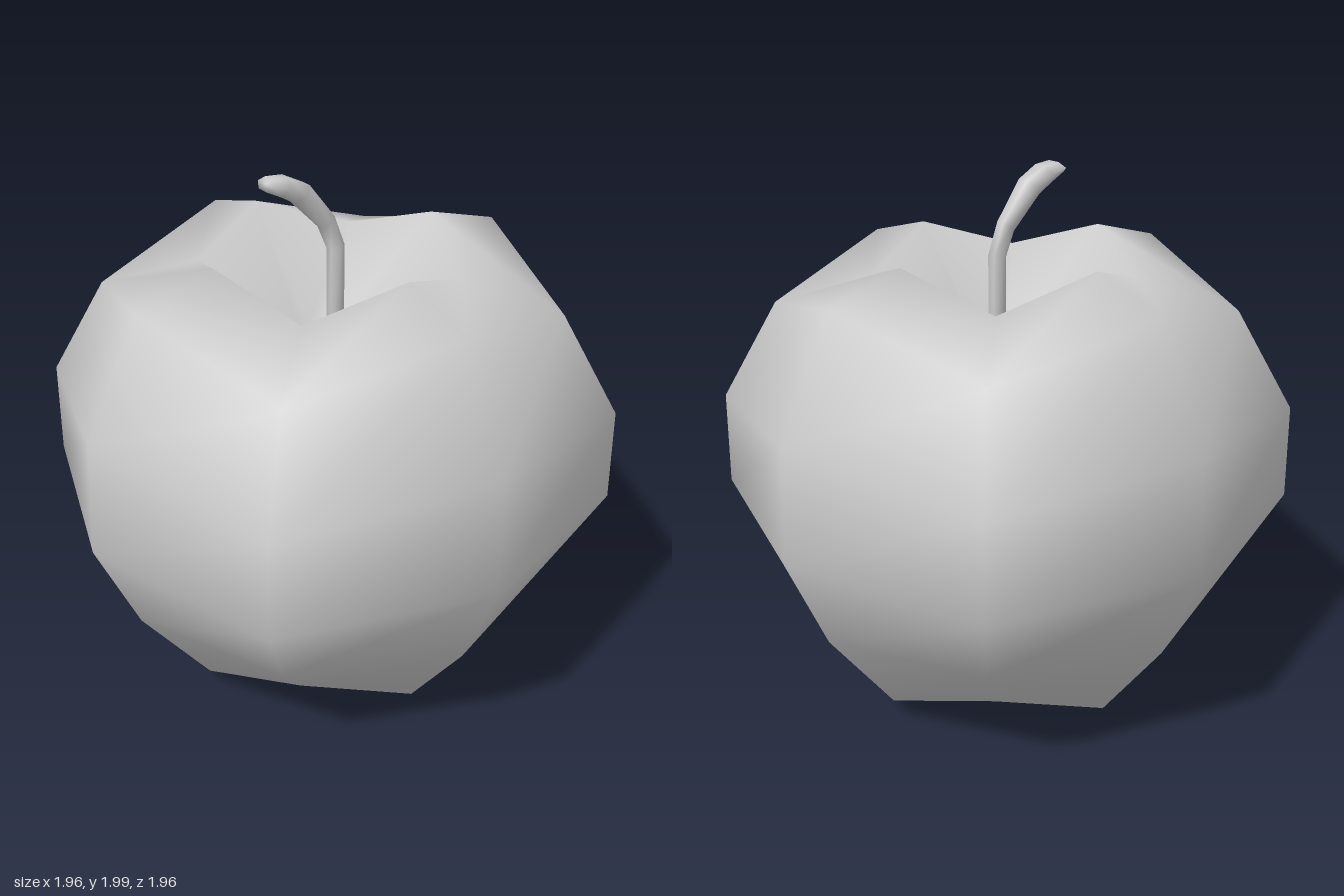
import * as THREE from 'three';

// Skin a stack of closed rings (bottom to top) and cap both ends
function loft(rings) {
  const n = rings[0].length, index = [];
  const pos = rings.flat();
  const centre = (ring) => ring.reduce((s, p) => s.add(p), new THREE.Vector3()).divideScalar(n);
  pos.push(centre(rings[0]), centre(rings[rings.length - 1]));
  const first = pos.length - 2, last = pos.length - 1, top = (rings.length - 1) * n;
  for (let j = 0; j < n; j++) {
    const k = (j + 1) % n;
    for (let i = 0; i < rings.length - 1; i++) {
      const a = i * n + j, b = i * n + k;
      index.push(a, a + n, b, b, a + n, b + n);
    }
    index.push(first, j, k, last, top + k, top + j);
  }
  const geo = new THREE.BufferGeometry().setFromPoints(pos);
  geo.setIndex(index);
  geo.computeVertexNormals();
  return geo;
}

export function createModel() {
  const group = new THREE.Group();
  const add = (name, geo) => {
    const mesh = new THREE.Mesh(geo, new THREE.MeshStandardMaterial({ color: 0xcccccc }));
    mesh.name = name;
    group.add(mesh);
  };

  // Fruit: eight sides, ridges and valleys alternating
  // [ridge radius, ridge height, valley radius, valley height]
  const profile = [
    [0.07, 0.24, 0.07, 0.26],
    [0.21, 0.005, 0.24, 0.11],
    [0.35, 0.03, 0.38, 0.155],
    [0.55, 0.09, 0.565, 0.22],
    [0.82, 0.45, 0.866, 0.51],
    [0.98, 0.81, 1.045, 0.8],
    [0.96, 1.23, 1.04, 1.145],
    [0.755, 1.65, 0.83, 1.51],
    [0.46, 1.735, 0.47, 1.62],
    [0.12, 1.36, 0.09, 1.35],
  ];
  add('fruitBody', loft(profile.map(([rr, ry, vr, vy]) =>
    Array.from({ length: 8 }, (_, j) => {
      const a = (j * Math.PI) / 4, r = j % 2 ? vr : rr;
      return new THREE.Vector3(r * Math.cos(a), j % 2 ? vy : ry, r * Math.sin(a));
    }))));

  // Stem: six-sided tube leaning forward and flaring at the tip
  // [height, z, half width, half depth, forward tilt]
  const path = [
    [1.3, -0.035, 0.03, 0.033, 0],
    [1.7, -0.035, 0.03, 0.033, 0.2],
    [1.8, 0.005, 0.03, 0.036, 0.6],
    [1.925, 0.115, 0.045, 0.045, 0.75],
    [1.963, 0.185, 0.05, 0.04, 1.0],
    [1.98, 0.245, 0.05, 0.026, 0.95],
  ];
  add('stem', loft(path.map(([y, z, w, d, t]) =>
    Array.from({ length: 6 }, (_, j) => {
      const a = (j * Math.PI) / 3, s = d * Math.sin(a);
      return new THREE.Vector3(w * Math.cos(a), y - s * Math.sin(t), z + s * Math.cos(t));
    }))));
  return group;
}
